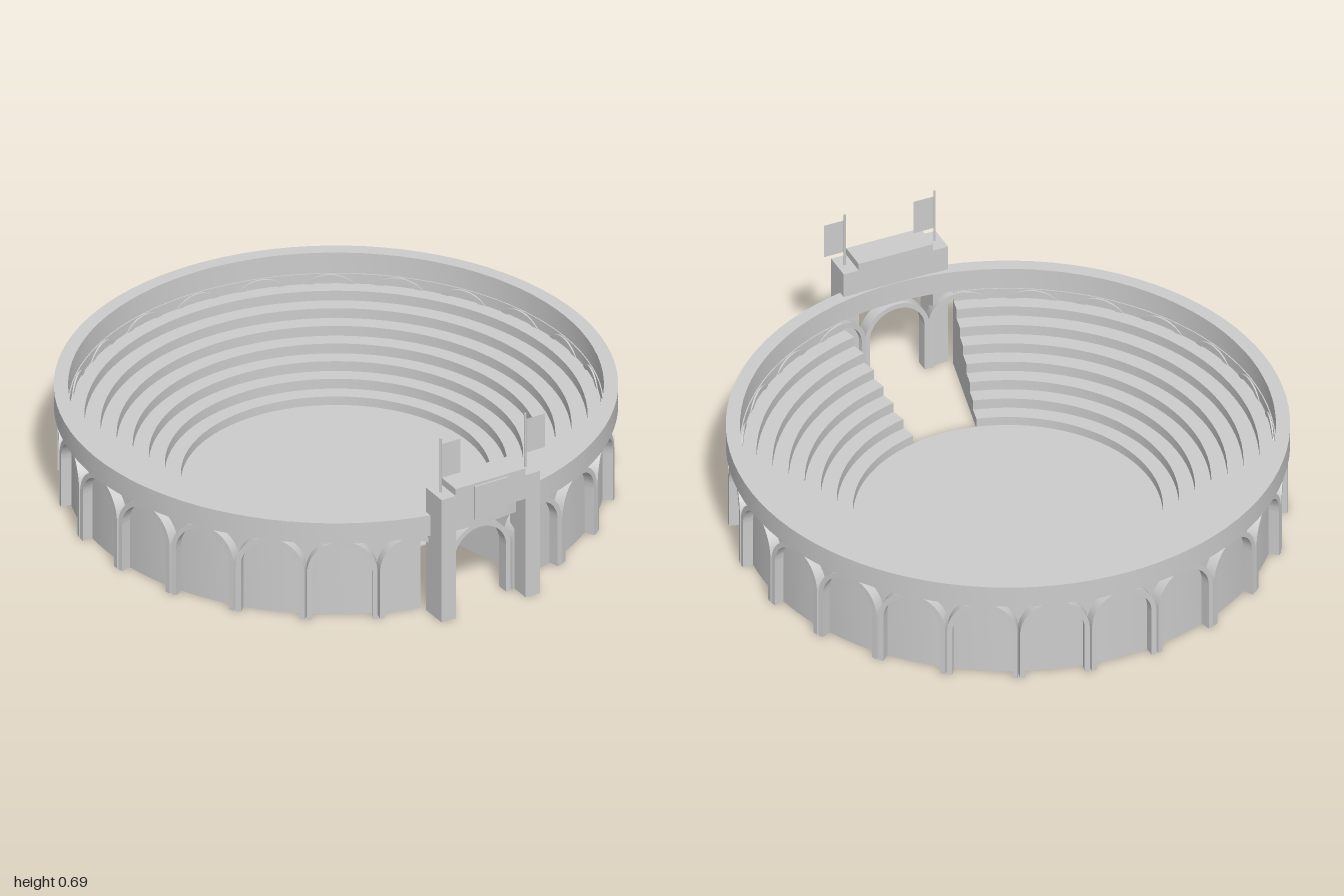
import * as THREE from 'three';
import { toCreasedNormals } from 'three/addons/utils/BufferGeometryUtils.js';

const stone = new THREE.MeshStandardMaterial({ color: 0xcccccc, side: THREE.DoubleSide });
stone.name = 'stone grey';

const CENTER_Z = -0.035;   // axis of the round building
const NOTCH = 0.226;       // half angle of the entrance gap
const ARCHES = 24;

export function createModel() {
  const model = new THREE.Group();
  model.name = 'amphitheatre';

  function add(parent, name, geometry, x = 0, y = 0, z = 0) {
    const mesh = new THREE.Mesh(geometry, stone);
    mesh.name = name;
    mesh.position.set(x, y, z);
    parent.add(mesh);
    return mesh;
  }

  // Round part, built about its own axis
  const ring = new THREE.Group();
  ring.name = 'arenaRing';
  ring.position.z = CENTER_Z;
  model.add(ring);

  const lathe = (pts, start, length) =>
    toCreasedNormals(new THREE.LatheGeometry(pts, 96, start, length), 0.5);
  const v = (x, y) => new THREE.Vector2(x, y);

  // Stepped seating: closed profile, counter-clockwise
  const rise = 0.305 / 8;
  const profile = [v(0.53, 0), v(0.918, 0), v(0.918, 0.305), v(0.912, 0.305)];
  for (let i = 6; i >= 0; i--) {
    const outer = i === 6 ? 0.912 : 0.53 + 0.055 * (i + 1);
    profile.push(v(outer, rise * (i + 1)), v(0.53 + 0.055 * i, rise * (i + 1)));
  }
  profile.push(v(0.53, 0));
  add(ring, 'seating', lathe(profile, NOTCH, Math.PI * 2 - 2 * NOTCH));

  // Cut ends of the seating beside the entrance
  for (const s of [-1, 1]) {
    const end = add(ring, 'seatingEnd', new THREE.ShapeGeometry(new THREE.Shape(profile)));
    end.rotation.y = s * NOTCH - Math.PI / 2;
  }

  // Arena floor
  add(ring, 'arenaFloor', new THREE.CylinderGeometry(0.531, 0.531, 0.005, 96), 0, 0.0025, 0);

  // Parapet over the arcade
  add(ring, 'parapet', lathe([
    v(0.916, 0.305), v(0.965, 0.305), v(0.965, 0.385), v(0.916, 0.385), v(0.916, 0.305),
  ], 0, Math.PI * 2));

  // Arcade: one stilted arch band repeated around the wall
  const outerR = 0.121, innerR = 0.103, spring = 0.182;
  const band = new THREE.Shape();
  band.moveTo(outerR, 0);
  band.lineTo(outerR, spring);
  band.absarc(0, spring, outerR, 0, Math.PI, false);
  band.lineTo(-outerR, 0);
  band.lineTo(-innerR, 0);
  band.lineTo(-innerR, spring);
  band.absarc(0, spring, innerR, Math.PI, 0, true);
  band.lineTo(innerR, 0);
  band.closePath();
  const archGeo = toCreasedNormals(new THREE.ExtrudeGeometry(band, {
    depth: 0.045, bevelEnabled: false, curveSegments: 20,
  }).translate(0, 0, 0.905), 0.5);
  for (let i = 0; i < ARCHES; i++) {
    add(ring, 'arch', archGeo).rotation.y = (i / ARCHES) * Math.PI * 2;
  }

  // Gate: two pillars, a beam and a front panel
  const gate = new THREE.Group();
  gate.name = 'gate';
  model.add(gate);
  for (const s of [-1, 1]) {
    add(gate, 'gatePillar', new THREE.BoxGeometry(0.057, 0.48, 0.103), s * 0.168, 0.24, 0.932);
    add(gate, 'flagPole', new THREE.CylinderGeometry(0.004, 0.004, 0.21, 10), s * 0.169, 0.585, 0.932);
    add(gate, 'flag', new THREE.PlaneGeometry(0.077, 0.132), s * 0.169 + 0.04, 0.6, 0.932);
  }
  add(gate, 'gateBeam', new THREE.BoxGeometry(0.28, 0.12, 0.103), 0, 0.447, 0.932);
  add(gate, 'gatePanel', new THREE.BoxGeometry(0.132, 0.13, 0.008), 0, 0.432, 0.986);

  return model;
}
